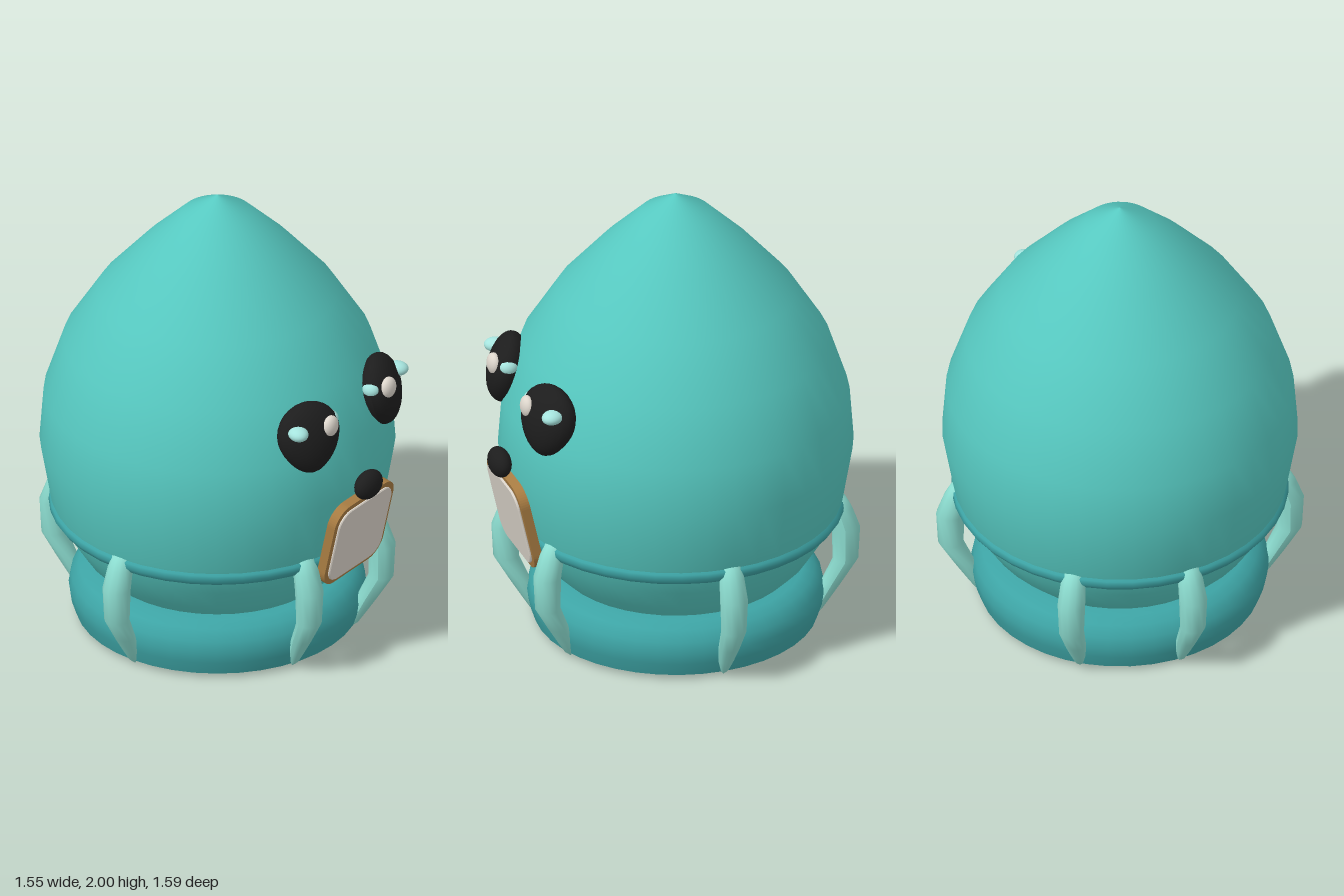
import * as THREE from 'three';

const mat = (name, color, side = THREE.FrontSide) => {
  const m = new THREE.MeshStandardMaterial({ color, side });
  m.name = name;
  return m;
};

export function createModel() {
  const teal = mat('teal', 0x56c8c0, THREE.DoubleSide);
  const deepTeal = mat('deepTeal', 0x3da4a5, THREE.DoubleSide);
  const mint = mat('mint', 0x8cddd0);
  const paleMint = mat('paleMint', 0xa6e4de);
  const black = mat('black', 0x1d1d1d);
  const cream = mat('cream', 0xddd6cc);
  const brown = mat('brown', 0xa87c42);

  const model = new THREE.Group();
  model.name = 'creature';
  const CZ = -0.04; // axis of the round body

  const add = (name, geo, material, x, y, z, parent = model) => {
    const m = new THREE.Mesh(geo, material);
    m.name = name;
    m.position.set(x, y, z);
    parent.add(m);
    return m;
  };
  const lathe = (pts, seg = 40) =>
    new THREE.LatheGeometry(pts.map(([r, y]) => new THREE.Vector2(r, y)), seg);
  const ellipsoid = (rx, ry, rz) => new THREE.SphereGeometry(1, 24, 16).scale(rx, ry, rz);

  // Pointed dome, open underneath
  add('body', lathe([
    [0.5, 0.25], [0.57, 0.32], [0.64, 0.43], [0.705, 0.57], [0.75, 0.83], [0.733, 1.06],
    [0.65, 1.31], [0.505, 1.54], [0.32, 1.75], [0.15, 1.915], [0, 2],
  ]), teal, 0, 0, CZ);

  // Lip around the dome and hollow base ring
  add('lip', lathe([[0.655, 0.49], [0.695, 0.503], [0.712, 0.528], [0.708, 0.55], [0.69, 0.565]]),
    deepTeal, 0, 0, CZ);
  add('baseRing', lathe([
    [0.6, 0.02], [0.62, 0.08], [0.627, 0.13], [0.617, 0.18], [0.585, 0.225], [0.54, 0.245], [0.48, 0.25],
  ]), deepTeal, 0, 0, CZ);

  // Six bent, tapering legs: [radius, height, distance from the axis]
  const legRows = [
    [0, 0, 0.585], [0.018, 0.025, 0.597], [0.033, 0.08, 0.618], [0.045, 0.16, 0.657], [0.054, 0.27, 0.715],
    [0.06, 0.42, 0.717], [0.054, 0.51, 0.69], [0.042, 0.56, 0.675], [0, 0.575, 0.67],
  ];
  const legGeo = lathe(legRows, 12);
  const p = legGeo.attributes.position;
  for (let i = 0; i < p.count; i++) {
    const row = legRows[i % legRows.length];
    p.setX(i, p.getX(i) + row[2]);
  }
  legGeo.computeVertexNormals();
  for (const deg of [0, 69, 111, 180, 249, 291]) {
    add('leg', legGeo, mint, 0, 0, CZ).rotation.y = THREE.MathUtils.degToRad(deg);
  }

  // Egg-shaped eyes, narrower at the bottom, with glints
  const eyeGeo = ellipsoid(0.143, 0.157, 0.085);
  const e = eyeGeo.attributes.position;
  for (let i = 0; i < e.count; i++) {
    const y = e.getY(i);
    e.setX(i, e.getX(i) * (1 + 1.1 * y - 3 * y * y));
  }
  eyeGeo.computeVertexNormals();
  for (const s of [1, -1]) {
    const eye = add('eye', eyeGeo, black, s * 0.255, 1.165, 0.625);
    eye.rotation.set(-0.18, s * 0.4, 0, 'YXZ');
    add('eyeGlint', ellipsoid(0.045, 0.048, 0.03), cream, s * 0.205, 1.22, 0.7);
    add('outerEyeGlint', ellipsoid(0.042, 0.03, 0.05), paleMint, s * 0.35, 1.228, 0.64)
      .rotation.y = s * 0.5;
    add('innerEyeGlint', ellipsoid(0.034, 0.035, 0.04), paleMint, s * 0.148, 1.222, 0.655);
  }

  add('nose', ellipsoid(0.08, 0.063, 0.047), black, 0, 0.862, 0.75);

  // Rounded mouth panel with a border, leaning along the dome
  const panel = (w, h, r, depth, bevel) => {
    const s = new THREE.Shape();
    const corners = [[w - r, h - r, 0], [r - w, h - r, 1], [r - w, r - h, 2], [w - r, r - h, 3]];
    for (const [x, y, q] of corners) s.absarc(x, y, r, q * Math.PI / 2, (q + 1) * Math.PI / 2, false);
    return new THREE.ExtrudeGeometry(s, {
      depth, curveSegments: 6, bevelEnabled: bevel > 0, bevelThickness: bevel,
      bevelSize: bevel, bevelOffset: -bevel, bevelSegments: 1,
    });
  };
  const mouth = new THREE.Group();
  mouth.name = 'mouth';
  mouth.position.set(0, 0.61, 0.7);
  mouth.rotation.x = 0.22;
  model.add(mouth);
  add('mouthBorder', panel(0.208, 0.203, 0.085, 0.04, 0), brown, 0, 0, -0.04, mouth);
  add('mouthPanel', panel(0.186, 0.182, 0.072, 0.004, 0.004), cream, 0, 0, 0.002, mouth);

  return model;
}
